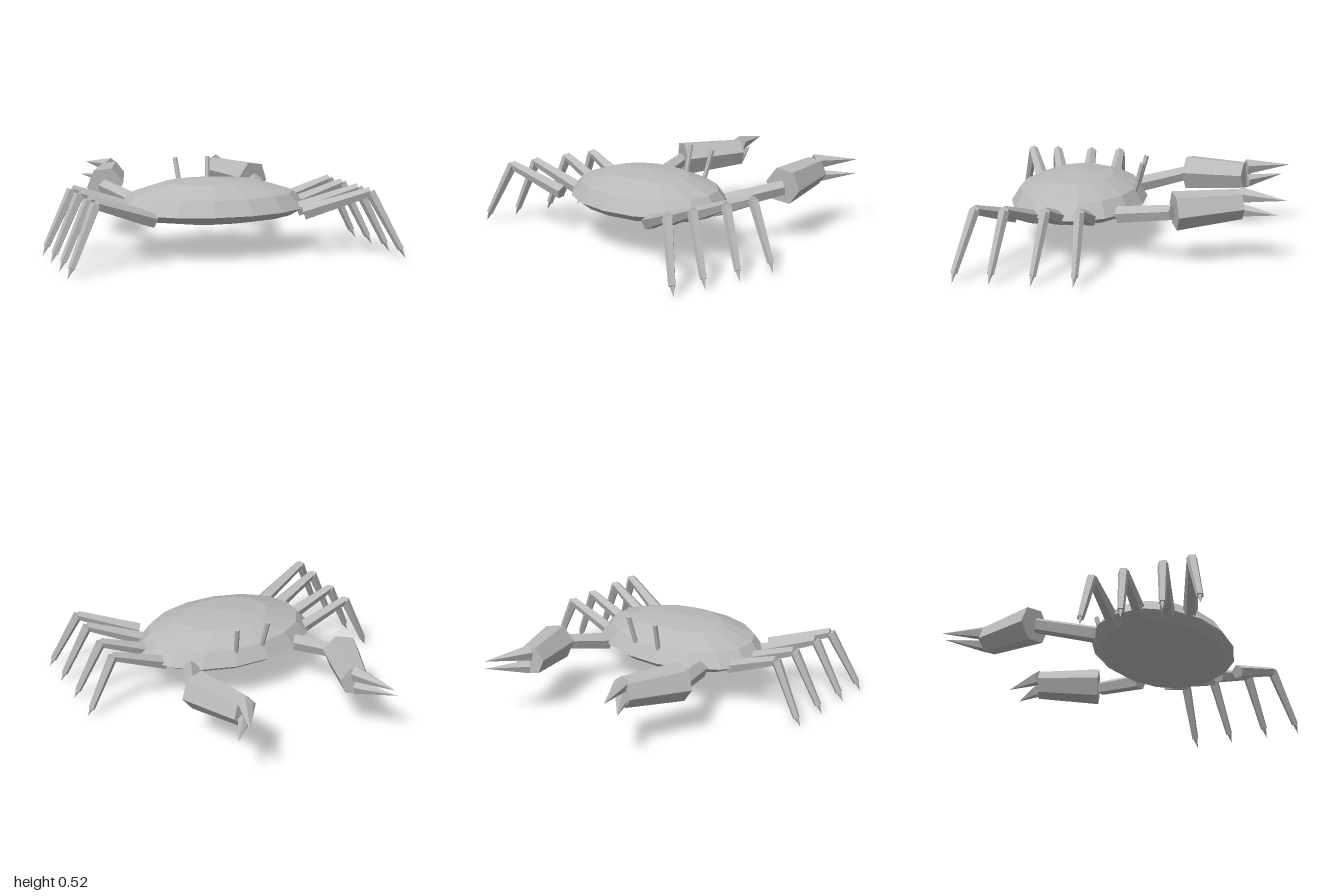
import * as THREE from 'three';

const shell = new THREE.MeshStandardMaterial({ color: 0xbababa, flatShading: true });
shell.name = 'shellGrey';

// Tapered prism from a to b; roll turns its cross-section about the axis
function limb(name, a, b, ra, rb, sides = 5, roll = 0) {
  const start = new THREE.Vector3(...a), end = new THREE.Vector3(...b);
  const dir = end.clone().sub(start);
  const geo = new THREE.CylinderGeometry(rb, ra, dir.length(), sides, 1, false, roll);
  dir.normalize();
  const ref = Math.abs(dir.y) > 0.75 ? new THREE.Vector3(0, 0, -1) : new THREE.Vector3(0, 1, 0);
  const side = dir.clone().cross(ref).normalize();
  const up = side.clone().cross(dir);
  geo.applyMatrix4(new THREE.Matrix4().makeBasis(side, dir, up));
  const mid = start.add(end).multiplyScalar(0.5);
  geo.translate(mid.x, mid.y, mid.z);
  const mesh = new THREE.Mesh(geo, shell);
  mesh.name = name;
  return mesh;
}

// Faceted carapace with a high dome and a shallow belly
function body() {
  const geo = new THREE.SphereGeometry(1, 16, 6).rotateY(Math.PI / 16);
  const p = geo.attributes.position;
  for (let i = 0; i < p.count; i++) {
    const y = p.getY(i);
    p.setXYZ(i, p.getX(i) * 0.58, 0.265 + y * (y > 0 ? 0.177 : 0.085), 0.355 + p.getZ(i) * 0.418);
  }
  geo.computeVertexNormals();
  const mesh = new THREE.Mesh(geo, shell);
  mesh.name = 'carapace';
  return mesh;
}

// Root, knee and foot positions along z, and the root's x
const legs = [
  { x: 0.47, z: [0.215, 0.22, 0.222] },
  { x: 0.48, z: [0.39, 0.415, 0.46] },
  { x: 0.47, z: [0.55, 0.65, 0.70] },
  { x: 0.455, z: [0.685, 0.82, 0.91] },
];

function leg({ x, z }, s) {
  const g = new THREE.Group();
  g.name = 'walkingLeg';
  const knee = [s * 0.815, 0.382, z[1]], foot = [s * 0.972, 0.055, z[2]];
  g.add(
    limb('upperLeg', [s * x, 0.255, z[0]], knee, 0.045, 0.03),
    limb('lowerLeg', knee, foot, 0.032, 0.021),
    limb('footTip', foot, [s * 0.998, 0, z[2] + 0.008], 0.014, 0),
  );
  return g;
}

function claw(s) {
  const g = new THREE.Group();
  g.name = 'claw';
  g.add(
    limb('clawArm', [s * 0.37, 0.26, 0.06], [s * 0.505, 0.322, -0.275], 0.053, 0.047),
    limb('palm', [s * 0.495, 0.33, -0.285], [s * 0.365, 0.35, -0.66], 0.116, 0.09, 6, Math.PI / 6 + s * 0.14),
    limb('upperPincer', [s * 0.365, 0.405, -0.66], [s * 0.47, 0.405, -0.935], 0.05, 0),
    limb('lowerPincer', [s * 0.37, 0.315, -0.665], [s * 0.52, 0.33, -0.885], 0.043, 0),
  );
  return g;
}

export function createModel() {
  const model = new THREE.Group();
  model.name = 'crab';
  model.add(body());
  for (const s of [1, -1]) {
    legs.forEach((l) => model.add(leg(l, s)));
    model.add(claw(s));
    model.add(limb('eyeStalk', [s * 0.09, 0.34, 0], [s * 0.105, 0.517, -0.05], 0.015, 0.015, 6));
  }
  return model;
}
